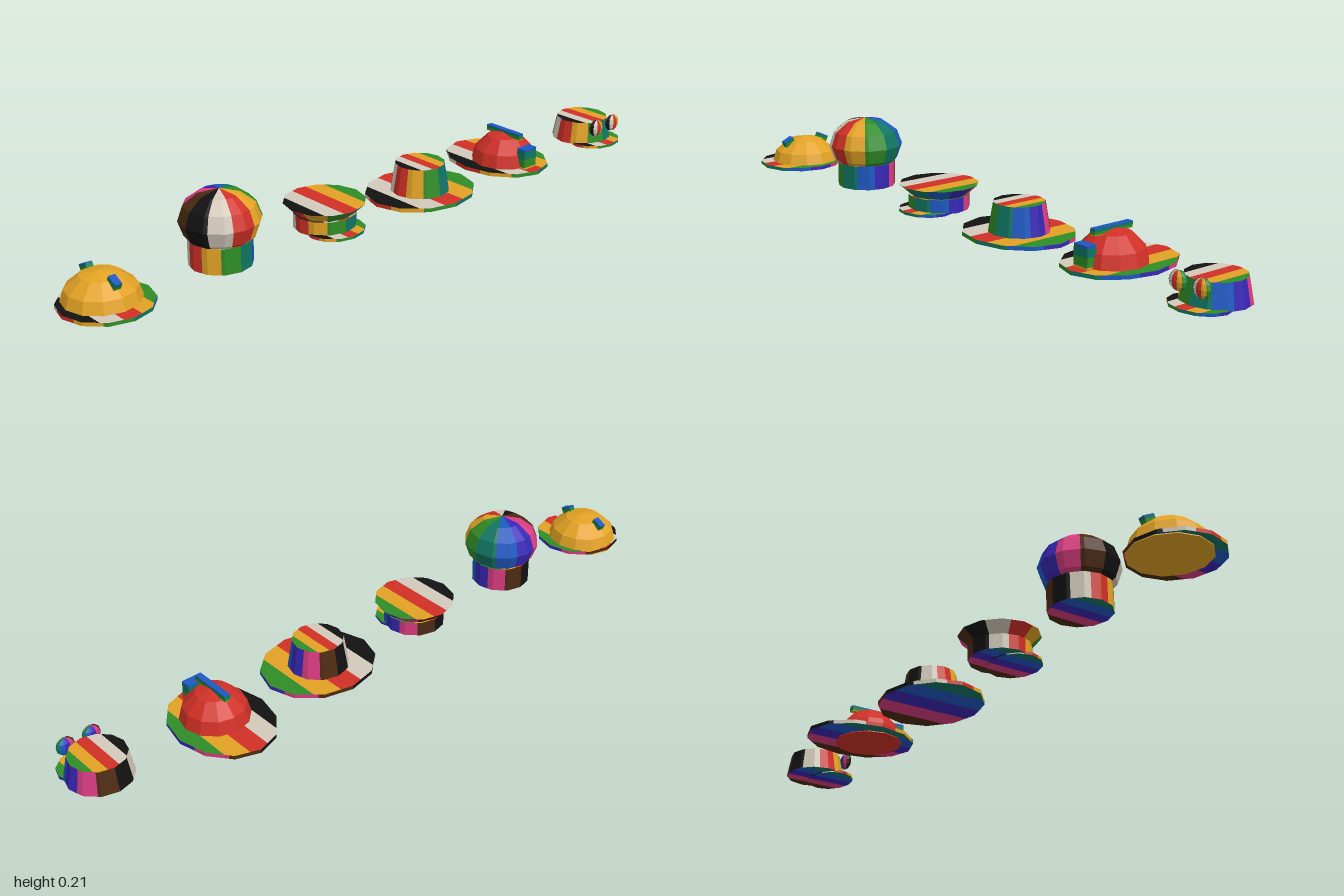
import * as THREE from 'three';

const mat = (name, color) => {
  const m = new THREE.MeshStandardMaterial({ color });
  m.name = name;
  return m;
};

// Palette in stripe order
const PALETTE = [
  mat('black', 0x121212), mat('offWhite', 0xd2c9ba), mat('red', 0xd03026), mat('amber', 0xe2a224),
  mat('green', 0x2f8c26), mat('teal', 0x107562), mat('blue', 0x1d58c0), mat('indigo', 0x3826b4),
  mat('pink', 0xd83c80), mat('brown', 0x4c2a12),
];
const SIDES = 12;
const TAU = Math.PI * 2;

// Sorted values without repeats
const cuts = (list) => list.sort((a, b) => a - b).filter((v, i, l) => i === 0 || v - l[i - 1] > 1e-5);

// Point on the straight-sided unit outline; angle 0 is the front, growing toward +x
function outline(a) {
  const s = (a / TAU) * SIDES, k = Math.floor(s + 1e-6), t = s - k;
  const a0 = (k / SIDES) * TAU, a1 = ((k + 1) / SIDES) * TAU;
  return [
    Math.sin(a0) * (1 - t) + Math.sin(a1) * t,
    Math.cos(a0) * (1 - t) + Math.cos(a1) * t,
  ];
}

// Faceted turned shape from [radius, height] points, with stripes or one solid palette colour
function turned(name, profile, { shift = 0.5, solid = -1, bottom = true, top = true } = {}) {
  const buckets = PALETTE.map(() => []);
  const tri = (c, p, q, r) => {
    const [P, Q, R] = [p, q, r].map((v) => new THREE.Vector3(...v));
    if (Q.sub(P).cross(R.sub(P)).length() > 1e-10) buckets[c].push(...p, ...q, ...r);
  };
  const quad = (c, p, q, r, s) => { tri(c, p, q, r); tri(c, p, r, s); };

  // Wall: stripes run round the shape
  const angles = [];
  for (let i = 0; i <= SIDES; i++) angles.push((i / SIDES) * TAU);
  for (let i = 0; i < 20; i++) {
    const a = (i / 10 - shift) * TAU;
    if (a > 0 && a < TAU) angles.push(a);
  }
  const ring = cuts(angles);
  for (let i = 0; i + 1 < ring.length; i++) {
    const u = (ring[i] + ring[i + 1]) / 2 / TAU + shift;
    const c = solid >= 0 ? solid : Math.floor((u % 1) * 10);
    const [xa, za] = outline(ring[i]), [xb, zb] = outline(ring[i + 1]);
    for (let j = 0; j + 1 < profile.length; j++) {
      const [r0, y0] = profile[j], [r1, y1] = profile[j + 1];
      quad(c, [xa * r0, y0, za * r0], [xb * r0, y0, zb * r0], [xb * r1, y1, zb * r1], [xa * r1, y1, za * r1]);
    }
  }

  // Ends: stripes run straight from front to back
  const xs = [-0.625, -0.2083, 0.2083, 0.625];
  for (let i = 0; i <= SIDES / 2; i++) xs.push(-Math.cos((i / SIDES) * TAU));
  const columns = cuts(xs);
  const half = (x) => {
    for (let i = 0; i < SIDES / 2; i++) {
      const a = (i / SIDES) * TAU, b = ((i + 1) / SIDES) * TAU;
      const xa = -Math.cos(a), xb = -Math.cos(b);
      if (x <= xb + 1e-6) return THREE.MathUtils.lerp(Math.sin(a), Math.sin(b), (x - xa) / (xb - xa));
    }
    return 0;
  };
  const cap = (r, y, up) => {
    for (let i = 0; i + 1 < columns.length; i++) {
      const x0 = columns[i], x1 = columns[i + 1];
      const stripe = Math.floor((0.25 + 0.12 * (x0 + x1)) * 10);
      const c = solid >= 0 ? solid : stripe + (up ? 0 : 5);
      const h0 = half(x0) * r, h1 = half(x1) * r;
      const p = [[x0 * r, y, h0], [x1 * r, y, h1], [x1 * r, y, -h1], [x0 * r, y, -h0]];
      quad(c, ...(up ? p : p.reverse()));
    }
  };
  if (bottom) cap(...profile[0], false);
  if (top) cap(...profile[profile.length - 1], true);

  const g = new THREE.BufferGeometry();
  g.setAttribute('position', new THREE.Float32BufferAttribute(buckets.flat(), 3));
  let start = 0;
  buckets.forEach((b, i) => {
    if (b.length) g.addGroup(start, b.length / 3, i);
    start += b.length / 3;
  });
  g.computeVertexNormals();
  const mesh = new THREE.Mesh(g, PALETTE);
  mesh.name = name;
  return mesh;
}

// Flattened ball, or only its upper half, of unit radius
function ball(name, from, options) {
  const profile = [];
  for (let d = from; d <= 90; d += 30) {
    const a = THREE.MathUtils.degToRad(d);
    profile.push([Math.abs(d) === 90 ? 0 : Math.cos(a), Math.sin(a)]);
  }
  return turned(name, profile, { shift: 0.25, top: false, bottom: from === 0, ...options });
}

// Block built from stacked colour bands
function bandedBlock(name, w, h, d) {
  const block = new THREE.Group();
  block.name = name;
  let y = -h / 2;
  for (const [color, share] of [[3, 0.1], [4, 0.4], [5, 0.4], [6, 0.1]]) {
    const band = new THREE.Mesh(new THREE.BoxGeometry(w, h * share, d), PALETTE[color]);
    band.name = name + 'Band';
    band.position.y = y + (h * share) / 2;
    y += h * share;
    block.add(band);
  }
  return block;
}

function place(obj, x, y, z, sx = 1, sy = 1, sz = 1) {
  obj.position.set(x, y, z);
  obj.scale.set(sx, sy, sz);
  return obj;
}

export function createModel() {
  const model = new THREE.Group();
  model.name = 'hatRow';
  const hat = (name, x, ...parts) => {
    const g = new THREE.Group();
    g.name = name;
    g.position.x = x;
    g.add(...parts);
    model.add(g);
  };
  const disc = (name, y0, y1) => turned(name, [[1, y0], [1, y1]]);

  // Hard hat with a stud before and behind the crown
  const studs = [1, -1].map((s) => {
    const stud = place(bandedBlock('stud', 0.02, 0.02, 0.034), 0, 0.076, 0.019 + s * 0.062);
    stud.rotation.x = s * 0.45;
    return stud;
  });
  hat('hardHat', -0.875,
    place(disc('brim', 0.003, 0.013), 0, 0, 0.037, 0.125, 1, 0.125),
    place(ball('dome', 0, { solid: 3 }), 0, 0, 0.019, 0.107, 0.09, 0.107),
    ...studs);

  // Cook's hat
  hat('cookHat', -0.518,
    place(turned('band', [[0.086, 0.002], [0.086, 0.075]]), 0, 0, 0.027),
    place(ball('puff', -90), 0, 0.126, 0.029, 0.11, 0.083, 0.11));

  // Peaked cap with a flared top
  hat('peakedCap', -0.162,
    place(turned('band', [[0.088, 0.003], [0.088, 0.045]]), 0, 0, 0.024),
    place(turned('flare', [[0.08, 0.043], [0.115, 0.075]]), 0, 0, 0.023),
    place(disc('visor', 0, 0.008), 0, 0, 0.07, 0.085, 1, 0.075));

  // Wide-brimmed hat
  hat('brimmedHat', 0.195,
    place(disc('brim', 0.003, 0.014), 0, 0, 0.027, 0.168, 1, 0.148),
    place(turned('crown', [[0.086, 0.012], [0.072, 0.096]]), 0, 0, 0.026));

  // Fire helmet with badge and crest
  hat('fireHelmet', 0.55,
    place(disc('brim', 0.003, 0.014), 0, 0, -0.006, 0.134, 1, 0.169),
    place(ball('dome', 0, { solid: 2 }), 0, 0, 0.022, 0.099, 0.104, 0.101),
    place(bandedBlock('crest', 0.018, 0.018, 0.13), 0, 0.1, 0.025),
    place(bandedBlock('badge', 0.05, 0.062, 0.03), 0, 0.044, 0.115));

  // Driving cap with goggles
  const goggles = [-1, 1].map((s) =>
    place(ball('goggle', -90), s * 0.038, 0.06, 0.115, 0.027, 0.026, 0.015));
  hat('drivingCap', 0.905,
    place(turned('crown', [[0.091, 0.003], [0.078, 0.07]]), 0, 0, 0.026),
    place(disc('visor', 0, 0.008), 0, 0, 0.08, 0.085, 1, 0.07),
    ...goggles);

  return model;
}
